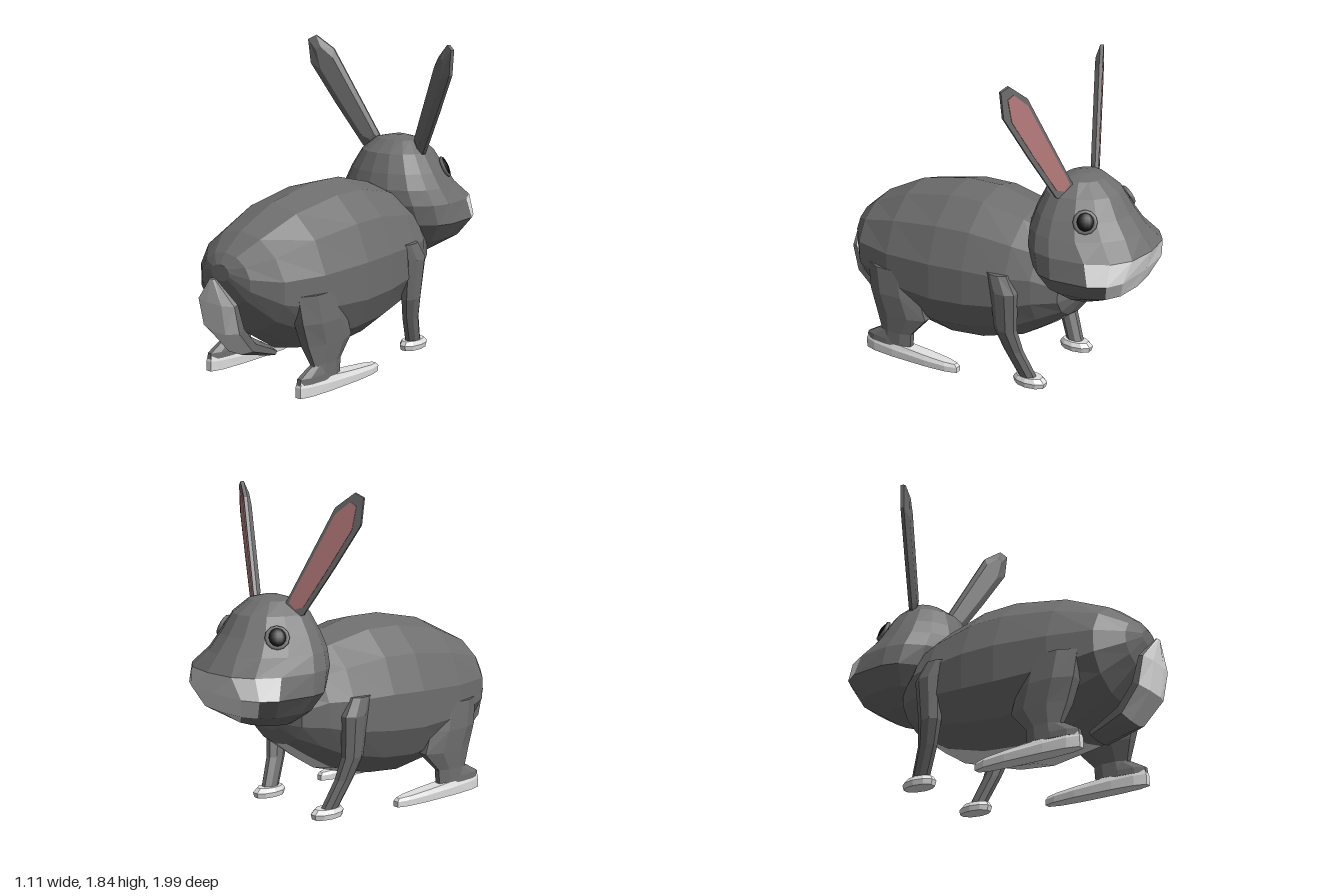
import * as THREE from 'three';

const V = (x, y, z) => new THREE.Vector3(x, y, z);

// Faceted loft through rings of points with closed ends.
// pick(centroid, normal) returns the material index of each face.
function loft(rings, materials, name, pick = () => 0) {
  const n = rings[0].length, tris = [];
  for (let r = 0; r < rings.length - 1; r++) {
    for (let i = 0; i < n; i++) {
      const j = (i + 1) % n, a = rings[r], b = rings[r + 1];
      tris.push([a[i], a[j], b[j]], [a[i], b[j], b[i]]);
    }
  }
  const centre = ring => ring.reduce((s, p) => s.add(p), V(0, 0, 0)).divideScalar(n);
  const first = rings[0], last = rings[rings.length - 1];
  const c0 = centre(first), c1 = centre(last);
  for (let i = 0; i < n; i++) {
    const j = (i + 1) % n;
    tris.push([c0, first[j], first[i]], [c1, last[i], last[j]]);
  }
  // turn all faces outwards
  const volume = tris.reduce((s, [a, b, c]) => s + a.clone().sub(c0).dot(b.clone().sub(c0).cross(c.clone().sub(c0))), 0);
  if (volume < 0) tris.forEach(t => t.reverse());

  const buckets = materials.map(() => []);
  for (const [a, b, c] of tris) {
    const normal = b.clone().sub(a).cross(c.clone().sub(a)).normalize();
    const mid = a.clone().add(b).add(c).divideScalar(3);
    buckets[pick(mid, normal)].push(a, b, c);
  }
  const geometry = new THREE.BufferGeometry().setFromPoints(buckets.flat());
  let start = 0;
  buckets.forEach((bucket, i) => {
    geometry.addGroup(start, bucket.length, i);
    start += bucket.length;
  });
  geometry.computeVertexNormals();
  const mesh = new THREE.Mesh(geometry, materials.length > 1 ? materials : materials[0]);
  mesh.name = name;
  return mesh;
}

const power = (v, e) => Math.sign(v) * Math.abs(v) ** (2 / e);

// Level oval ring, optionally squarer (e) and tilted along z
function oval([cx, y, cz, rx, rz, tilt = 0], sides, e, side) {
  return Array.from({ length: sides }, (_, i) => {
    const a = ((i + 0.5) / sides) * Math.PI * 2;
    const dz = rz * power(Math.cos(a), e);
    return V(side * (cx + rx * power(Math.sin(a), e)), y + tilt * dz, cz + dz);
  });
}

export function createModel() {
  const mat = (name, color) => {
    const m = new THREE.MeshStandardMaterial({ color });
    m.name = name;
    return m;
  };
  const grey = mat('greyFur', 0x6e6e6e);
  const white = mat('whiteFur', 0xe0e0e0);
  const pink = mat('innerEarPink', 0xb87c7c);
  const black = mat('eyeBlack', 0x0a0a0a);
  const rabbit = new THREE.Group();
  rabbit.name = 'rabbit';

  // body: z, bottom, top, half width; white stripe along the belly
  const bodyRings = [
    [0.93, 0.64, 0.73, 0.07], [0.89, 0.5, 0.79, 0.19], [0.77, 0.33, 0.89, 0.33],
    [0.52, 0.17, 1.01, 0.4], [0.2, 0.12, 1.075, 0.43], [-0.02, 0.14, 1.075, 0.42],
    [-0.28, 0.22, 1.01, 0.38], [-0.42, 0.31, 0.95, 0.33], [-0.55, 0.41, 0.8, 0.25],
    [-0.6, 0.5, 0.66, 0.12],
  ].map(([z, y0, y1, w]) => Array.from({ length: 14 }, (_, i) => {
    const a = (i / 14) * Math.PI * 2, mid = y0 + (y1 - y0) * 0.46;
    const c = Math.cos(a);
    return V(w * Math.sin(a), mid + c * (c > 0 ? y1 - mid : mid - y0), z);
  }));
  rabbit.add(loft(bodyRings, [grey, white], 'body',
    (p, n) => (n.y < -0.5 && Math.abs(p.x) < 0.135 && p.z < 0.45 ? 1 : 0)));

  // head: y, back z, front z, half width, squareness of the front
  const headRings = [
    [1.262, -0.53, -0.61, 0.04, 2], [1.24, -0.46, -0.69, 0.14, 2], [1.17, -0.37, -0.79, 0.22, 2],
    [1.06, -0.32, -0.86, 0.29, 2], [0.97, -0.29, -0.93, 0.34, 2], [0.88, -0.29, -1.0, 0.385, 2.6],
    [0.76, -0.34, -0.965, 0.4, 3.6], [0.65, -0.4, -0.92, 0.32, 3], [0.57, -0.5, -0.79, 0.2, 2],
    [0.54, -0.59, -0.67, 0.05, 2],
  ].map(([y, zb, zf, w, e]) => Array.from({ length: 16 }, (_, i) => {
    const a = (i / 16) * Math.PI * 2, c = Math.cos(a), mid = 0.6 * zb + 0.4 * zf;
    const k = c > 0 ? e : 2;
    return V(w * power(Math.sin(a), k), y, mid + (c > 0 ? zf - mid : zb - mid) * Math.abs(power(c, k)));
  }));
  rabbit.add(loft(headRings, [grey, white], 'head',
    (p, n) => (n.z < -0.45 && p.z < -0.8 && p.y < 0.9 && p.y > 0.6 ? 1 : 0)));

  // tail: z, y, half width, half thickness, curling up behind the body
  const tailPath = [
    [0.6, 0.18, 0.1, 0.03], [0.8, 0.26, 0.13, 0.06], [0.91, 0.38, 0.15, 0.055],
    [0.95, 0.53, 0.15, 0.035], [0.985, 0.665, 0.02, 0.01],
  ];
  const tailRings = tailPath.map(([z, y, w, t], i) => {
    const a = tailPath[Math.max(i - 1, 0)], b = tailPath[Math.min(i + 1, 4)];
    const len = Math.hypot(b[0] - a[0], b[1] - a[1]);
    const nz = (b[1] - a[1]) / len, ny = -(b[0] - a[0]) / len;
    return Array.from({ length: 8 }, (_, k) => {
      const q = ((k + 0.5) / 8) * Math.PI * 2, d = t * Math.cos(q);
      return V(w * Math.sin(q), y + ny * d, z + nz * d);
    });
  });
  rabbit.add(loft(tailRings, [grey, white], 'tail', (p, n) =>
    ((n.z > 0.55 && p.y > 0.26) || (n.z < -0.3 && p.y > 0.38) ? 1 : 0)));

  // ear outline, lying in an upright plane that swings backwards as it goes out
  const earOutline = [[0.12, 1.19], [0.14, 1.24], [0.27, 1.5], [0.4, 1.76], [0.5, 1.84],
    [0.545, 1.815], [0.53, 1.67], [0.39, 1.43], [0.23, 1.17], [0.17, 1.15]];
  const earRing = (scale, depth, side) => earOutline.map(([x, y]) => {
    const px = 0.33 + (x - 0.33) * scale, py = 1.5 + (y - 1.5) * (0.5 + scale / 2);
    // narrow across the ear while keeping its slanted axis
    const axis = 0.33 + (y - 1.5) * 0.55;
    const ex = scale === 1 ? x : axis + (x - axis) * scale + (px - px) + (py - y) * 0.55;
    return V(side * (ex + 0.45 * depth), py, -0.56 + 0.5 * (ex - 0.14) - 0.89 * depth);
  });

  for (const side of [1, -1]) {
    const label = side > 0 ? 'left' : 'right';
    const part = (rows, material, name, sides = 8, e = 2) =>
      rabbit.add(loft(rows.map(r => oval(r, sides, e, side)), [material], label + name));

    // ears with a pink inner plate
    rabbit.add(loft([earRing(1, 0.02, side), earRing(1, 0, side), earRing(0.6, -0.025, side)], [grey], label + 'Ear'));
    rabbit.add(loft([earRing(0.72, 0.024, side), earRing(0.72, 0.019, side)], [pink], label + 'InnerEar'));

    // eye and its lid rim
    const eye = new THREE.Group();
    eye.name = label + 'Eye';
    eye.position.set(side * 0.245, 1.07, -0.715);
    eye.lookAt(side * 0.995, 1.5, -1.18);
    const ball = new THREE.Mesh(new THREE.SphereGeometry(0.055, 12, 8), black);
    ball.name = 'eyeball';
    ball.scale.set(0.9, 1, 0.4);
    const rim = new THREE.Mesh(new THREE.TorusGeometry(0.056, 0.012, 5, 12), grey);
    rim.name = 'eyeRim';
    eye.add(ball, rim);
    rabbit.add(eye);

    // front leg and paw
    part([[0.36, 0.7, -0.23, 0.04, 0.07], [0.365, 0.6, -0.275, 0.055, 0.085], [0.345, 0.36, -0.275, 0.05, 0.07],
      [0.315, 0.23, -0.31, 0.042, 0.06], [0.275, 0.06, -0.385, 0.04, 0.055]], grey, 'FrontLeg');
    part([[0.27, 0.015, -0.395, 0.058, 0.1], [0.27, 0.045, -0.395, 0.064, 0.108],
      [0.27, 0.07, -0.39, 0.05, 0.085]], white, 'FrontPaw', 10);

    // hind leg, heel and long foot
    part([[0.31, 0.56, 0.52, 0.09, 0.18], [0.325, 0.4, 0.49, 0.088, 0.19], [0.33, 0.27, 0.45, 0.075, 0.19],
      [0.35, 0.16, 0.48, 0.045, 0.115], [0.35, 0.08, 0.49, 0.045, 0.12]], grey, 'HindLeg');
    part([[0.35, 0.07, 0.54, 0.046, 0.165], [0.35, 0.105, 0.54, 0.044, 0.16],
      [0.35, 0.155, 0.49, 0.036, 0.12]], grey, 'Heel', 10);
    part([[0.35, 0, 0.375, 0.05, 0.335], [0.35, 0.045, 0.375, 0.053, 0.335, 0.04],
      [0.35, 0.075, 0.375, 0.04, 0.32, 0.08]], white, 'HindFoot', 12, 2.6);
  }
  return rabbit;
}
